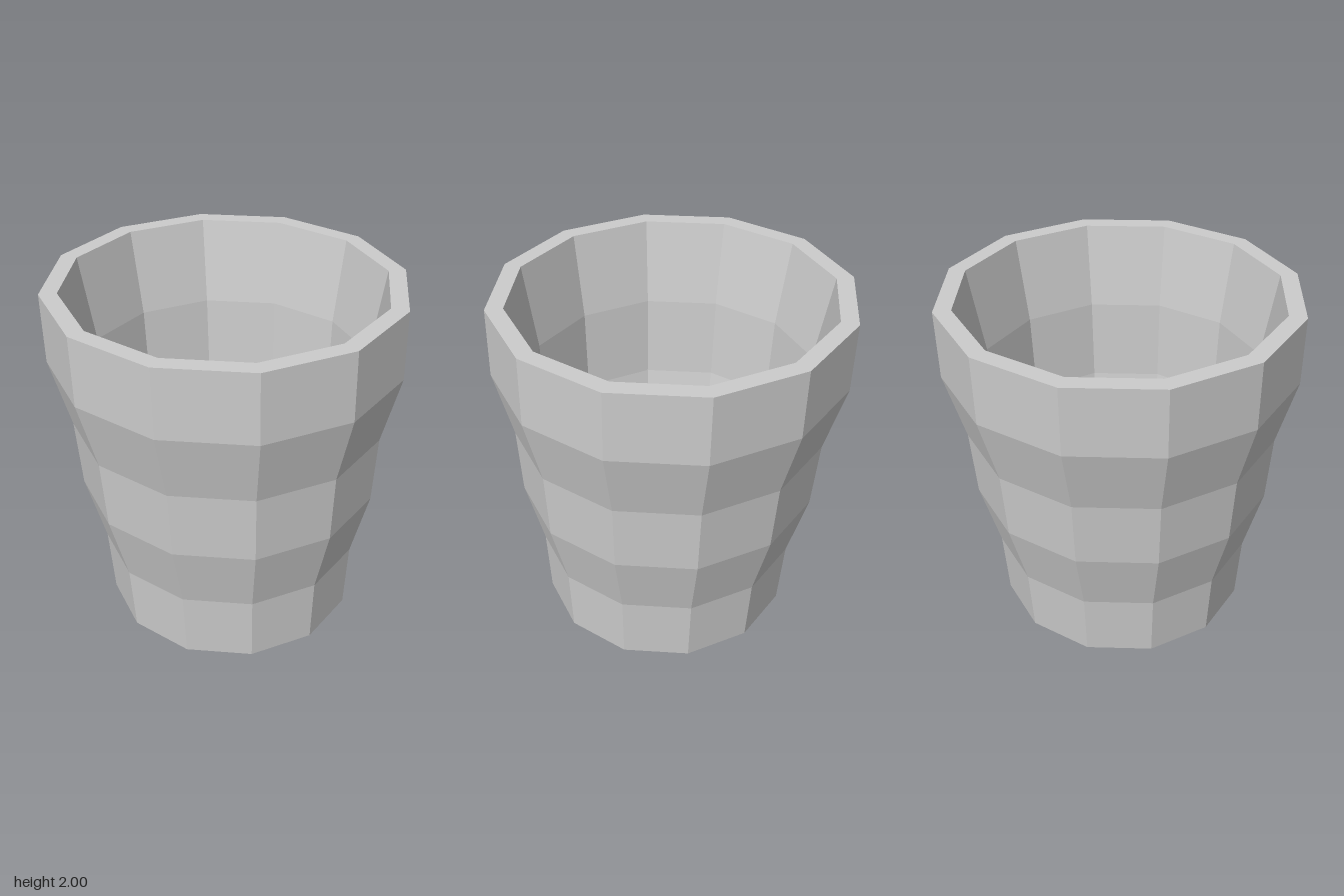
import * as THREE from 'three';

const SIDES = 12;

// Flat-shaded turned surface that leans slightly towards the back as it rises
function leaningLathe(name, profile, material) {
  const points = profile.map(([r, y]) => new THREE.Vector2(r, y));
  const geometry = new THREE.LatheGeometry(points, SIDES).toNonIndexed();
  const pos = geometry.attributes.position;
  for (let i = 0; i < pos.count; i++) {
    pos.setZ(i, pos.getZ(i) + 0.045 - 0.025 * pos.getY(i));
  }
  geometry.computeVertexNormals();
  const mesh = new THREE.Mesh(geometry, material);
  mesh.name = name;
  return mesh;
}

export function createModel() {
  const group = new THREE.Group();
  group.name = 'cup';
  const material = new THREE.MeshStandardMaterial({ color: 0xcccccc, flatShading: true });

  // Stepped outer wall, as [radius, height]
  const outer = [[0.73, 0], [0.755, 0.4], [0.86, 0.8], [0.887, 1.2], [0.993, 1.6], [0.996, 1.996]];

  // Inner wall in four even steps from the rim down to the floor
  const inner = [[0.898, 1.996], [0.812, 1.505], [0.788, 1.015], [0.695, 0.525], [0.667, 0.035]];

  group.add(
    leaningLathe('outerWall', outer, material),
    leaningLathe('base', [[0, 0], outer[0]], material),
    leaningLathe('rim', [outer.at(-1), inner[0]], material),
    leaningLathe('innerWall', inner, material),
    leaningLathe('innerFloor', [inner.at(-1), [0, inner.at(-1)[1]]], material),
  );
  return group;
}
